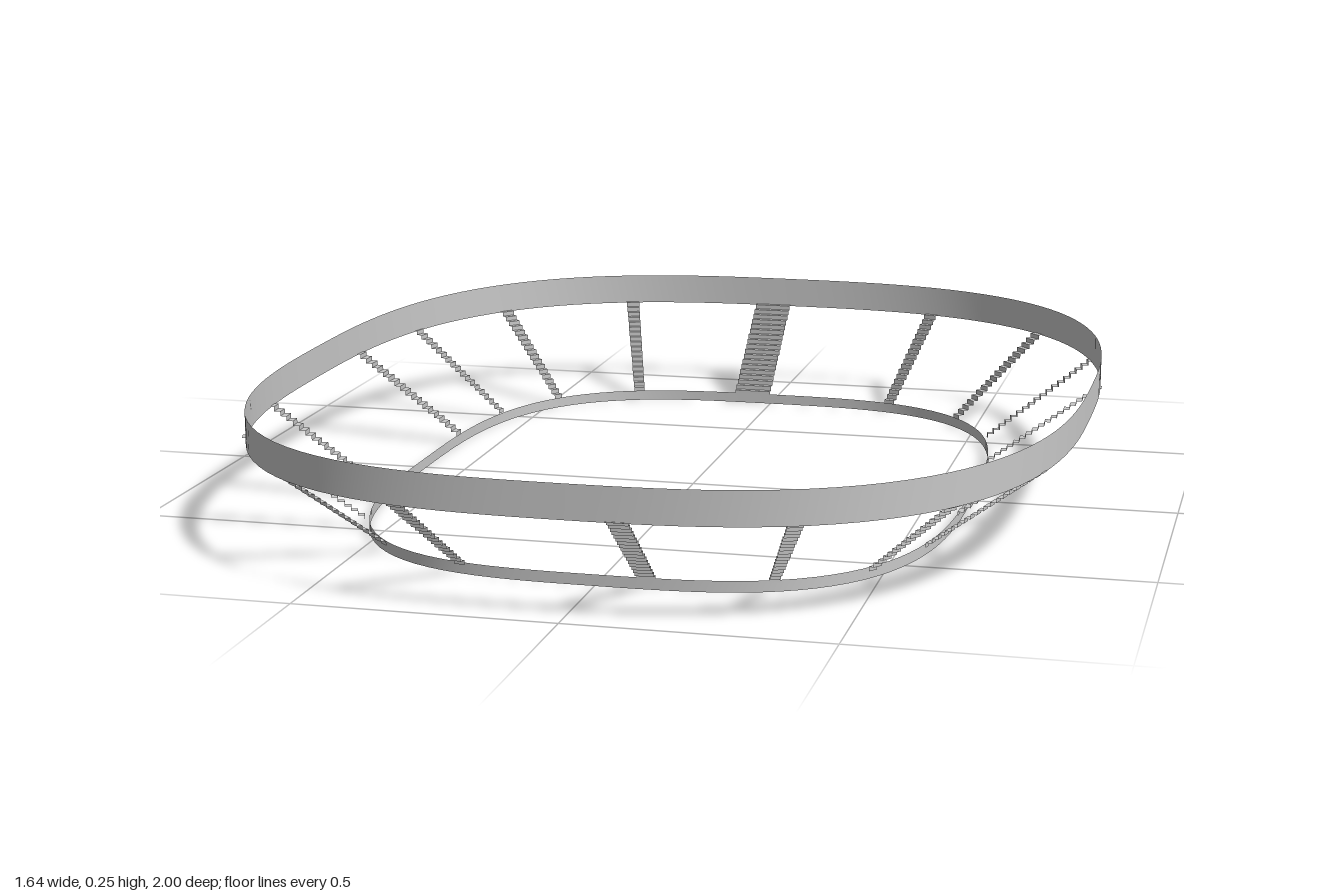
import * as THREE from 'three';

const STEPS = 18;

// Open vertical wall whose plan is a superellipse
function band(name, a, b, n, y0, y1, material) {
  const geo = new THREE.CylinderGeometry(1, 1, y1 - y0, 144, 1, true);
  const p = geo.attributes.position;
  for (let i = 0; i < p.count; i++) {
    const x = p.getX(i), z = p.getZ(i);
    const r = Math.pow(Math.pow(Math.abs(x) / a, n) + Math.pow(Math.abs(z) / b, n), -1 / n);
    p.setXYZ(i, x * r, p.getY(i) + (y0 + y1) / 2, z * r);
  }
  geo.computeVertexNormals();
  // Share the normal across the seam
  const nor = geo.attributes.normal;
  for (const i of [0, 144, 145, 289]) nor.setXYZ(i, 0, 0, 1);
  const mesh = new THREE.Mesh(geo, material);
  mesh.name = name;
  return mesh;
}

// Stepped ribbon of treads and risers climbing from the inner to the outer wall
function stairway([ox, oz, ix, iz, wOut, wIn], y0, y1, material) {
  const inner = new THREE.Vector2(ix, iz), outer = new THREE.Vector2(ox, oz);
  const dir = outer.clone().sub(inner).normalize();
  const side = new THREE.Vector2(-dir.y, dir.x);
  const pos = [];
  const edge = (t, y) => {
    const c = inner.clone().lerp(outer, t);
    const h = THREE.MathUtils.lerp(wIn, wOut, t) / 2;
    return [[c.x + side.x * h, y, c.y + side.y * h], [c.x - side.x * h, y, c.y - side.y * h]];
  };
  const quad = ([a, b], [c, d]) => pos.push(...a, ...c, ...b, ...b, ...c, ...d);
  for (let i = 0; i < STEPS; i++) {
    const ya = THREE.MathUtils.lerp(y0, y1, i / STEPS);
    const yb = THREE.MathUtils.lerp(y0, y1, (i + 1) / STEPS);
    const t0 = i / STEPS, t1 = (i + 1) / STEPS;
    quad(edge(t0, ya), edge(t0, yb)); // riser
    quad(edge(t0, yb), edge(t1, yb)); // tread
  }
  const geo = new THREE.BufferGeometry();
  geo.setAttribute('position', new THREE.Float32BufferAttribute(pos, 3));
  // Orient each face upward and inward
  geo.computeVertexNormals();
  if (geo.attributes.normal.getY(6) < 0) {
    const p = geo.attributes.position;
    for (let i = 0; i < p.count; i += 3) {
      const b = [p.getX(i + 1), p.getY(i + 1), p.getZ(i + 1)];
      p.setXYZ(i + 1, p.getX(i + 2), p.getY(i + 2), p.getZ(i + 2));
      p.setXYZ(i + 2, ...b);
    }
    geo.computeVertexNormals();
  }
  const mesh = new THREE.Mesh(geo, material);
  mesh.name = 'stairway';
  return mesh;
}

export function createModel() {
  const group = new THREE.Group();
  group.name = 'arenaFrame';
  const concrete = new THREE.MeshStandardMaterial({ color: 0xc8c8c8, side: THREE.DoubleSide });
  concrete.name = 'concrete grey';

  group.add(band('outerWall', 0.82, 1.0, 2.78, 0.188, 0.254, concrete));
  group.add(band('innerWall', 0.585, 0.765, 3.15, 0, 0.022, concrete));

  // Outer x, z, inner x, z, outer width, inner width
  const stairs = [
    [0.815, -0.267, 0.582, -0.258, 0.03, 0.026],
    [0.77, -0.54, 0.55, -0.477, 0.027, 0.02],
    [0.62, -0.8, 0.457, -0.638, 0.032, 0.022],
    [0.347, -0.967, 0.285, -0.747, 0.03, 0.025],
    [-0.382, -0.955, -0.31, -0.742, 0.03, 0.024],
    [-0.647, -0.772, -0.475, -0.625, 0.032, 0.02],
    [-0.782, -0.51, -0.56, -0.452, 0.028, 0.018],
    [-0.82, -0.233, -0.587, -0.226, 0.036, 0.03],
    [-0.815, 0.295, -0.583, 0.28, 0.03, 0.025],
    [-0.765, 0.562, -0.545, 0.488, 0.027, 0.018],
    [-0.597, 0.82, -0.447, 0.652, 0.032, 0.02],
    [-0.317, 0.972, -0.265, 0.747, 0.032, 0.022],
    [0.105, 1.0, 0.097, 0.762, 0.04, 0.036],
    [0.412, 0.94, 0.328, 0.725, 0.03, 0.02],
    [0.665, 0.735, 0.488, 0.605, 0.032, 0.02],
    [0.785, 0.475, 0.56, 0.423, 0.028, 0.018],
    [0.815, 0.187, 0.584, 0.18, 0.038, 0.032],
    [-0.043, -1.0, -0.043, -0.768, 0.083, 0.083],
  ];
  const flights = new THREE.Group();
  flights.name = 'stairways';
  for (const s of stairs) flights.add(stairway(s, 0.018, 0.19, concrete));
  group.add(flights);
  return group;
}
